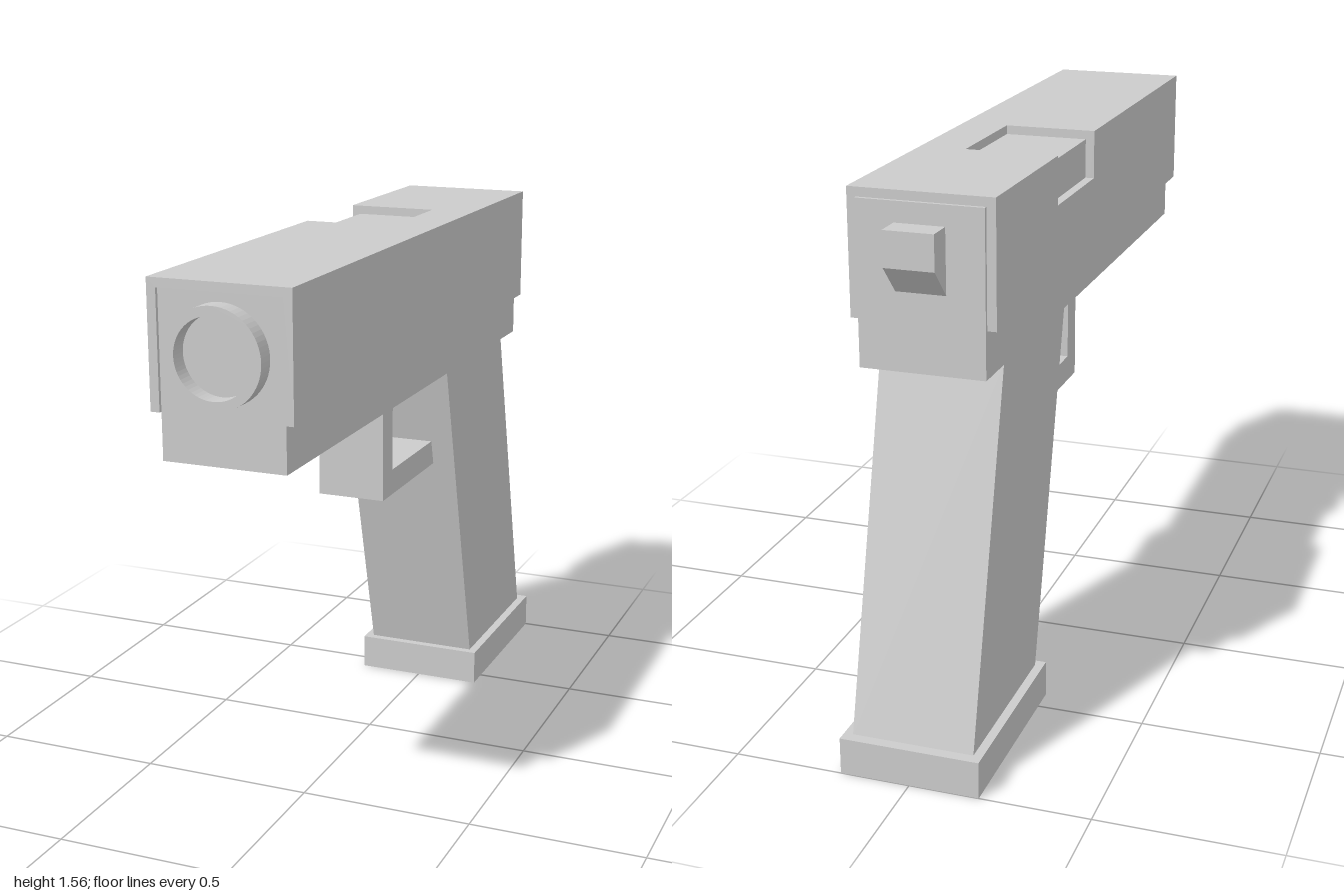
import * as THREE from 'three';

const grey = new THREE.MeshStandardMaterial({ color: 0xcccccc, flatShading: true });
const smoothGrey = new THREE.MeshStandardMaterial({ color: 0xcccccc });

const shapeOf = (points) => new THREE.Shape(points.map(([a, b]) => new THREE.Vector2(a, b)));

function part(name, geometry, material = grey) {
  const mesh = new THREE.Mesh(geometry, material);
  mesh.name = name;
  return mesh;
}

// Box given by its minimum and maximum corners
function box(name, [x0, y0, z0], [x1, y1, z1]) {
  const g = new THREE.BoxGeometry(x1 - x0, y1 - y0, z1 - z0);
  g.translate((x0 + x1) / 2, (y0 + y1) / 2, (z0 + z1) / 2);
  return part(name, g);
}

// Side profile of [z, y] points, extruded across x and centred
function sideProfile(name, points, width) {
  const g = new THREE.ExtrudeGeometry(shapeOf(points), { depth: width, bevelEnabled: false });
  g.translate(0, 0, -width / 2);
  g.rotateY(-Math.PI / 2);
  return part(name, g);
}

// Cross-section of [x, y] points, extruded from z0 to z1
function alongZ(name, points, z0, z1) {
  const g = new THREE.ExtrudeGeometry(shapeOf(points), { depth: z1 - z0, bevelEnabled: false });
  g.translate(0, 0, z0);
  return part(name, g);
}

export function createModel() {
  const model = new THREE.Group();

  // Slide: a channel-shaped cover with a port cut into the top right edge
  const slide = new THREE.Group();
  slide.name = 'slide';
  const W = 0.195, I = 0.17, bottom = 1.222, top = 1.56, inner = 1.535;
  const channel = [
    [-W, bottom], [-I, bottom], [-I, inner], [I, inner],
    [I, bottom], [W, bottom], [W, top], [-W, top],
  ];
  const besidePort = [
    [0.065, inner], [I, inner], [I, bottom], [W, bottom], [W, top], [0.065, top],
  ];
  slide.add(
    alongZ('slideFront', channel, 0, 0.96),
    alongZ('slideBesidePort', besidePort, -0.34, 0),
    box('slideBelowPort', [-W, bottom, -0.34], [-I, 1.425, 0]),
    alongZ('slideRear', channel, -0.835, -0.34),
  );
  model.add(slide);

  // Frame filling the slide and showing below it
  model.add(box('frame', [-I, 1.095, -0.845], [I, inner, 0.95]));

  // Hollow muzzle ring, closed by the frame behind it
  const ring = new THREE.Shape().absarc(0, 0, 0.13, 0, Math.PI * 2);
  ring.holes.push(new THREE.Path().absarc(0, 0, 0.105, 0, Math.PI * 2, true));
  const muzzle = new THREE.ExtrudeGeometry(ring, { depth: 0.05, bevelEnabled: false, curveSegments: 32 });
  muzzle.translate(0, 1.38, 0.95);
  model.add(part('muzzle', muzzle, smoothGrey));

  // Raked grip and its base plate
  model.add(sideProfile('grip', [[-0.455, 0.1], [-0.97, 0.1], [-0.71, 1.1], [-0.195, 1.1]], 2 * I));
  model.add(box('basePlate', [-W, 0, -1], [W, 0.105, -0.43]));

  // L-shaped guard running from the frame back into the grip
  model.add(sideProfile('triggerGuard', [
    [0.145, 1.1], [0.07, 1.1], [0.07, 0.86], [-0.3, 0.86], [-0.3, 0.785], [0.145, 0.785],
  ], 0.2));

  // Hammer at the back
  model.add(sideProfile('hammer', [
    [-0.84, 1.3], [-0.84, 1.48], [-0.92, 1.48], [-0.92, 1.385],
  ], 0.135));

  return model;
}
